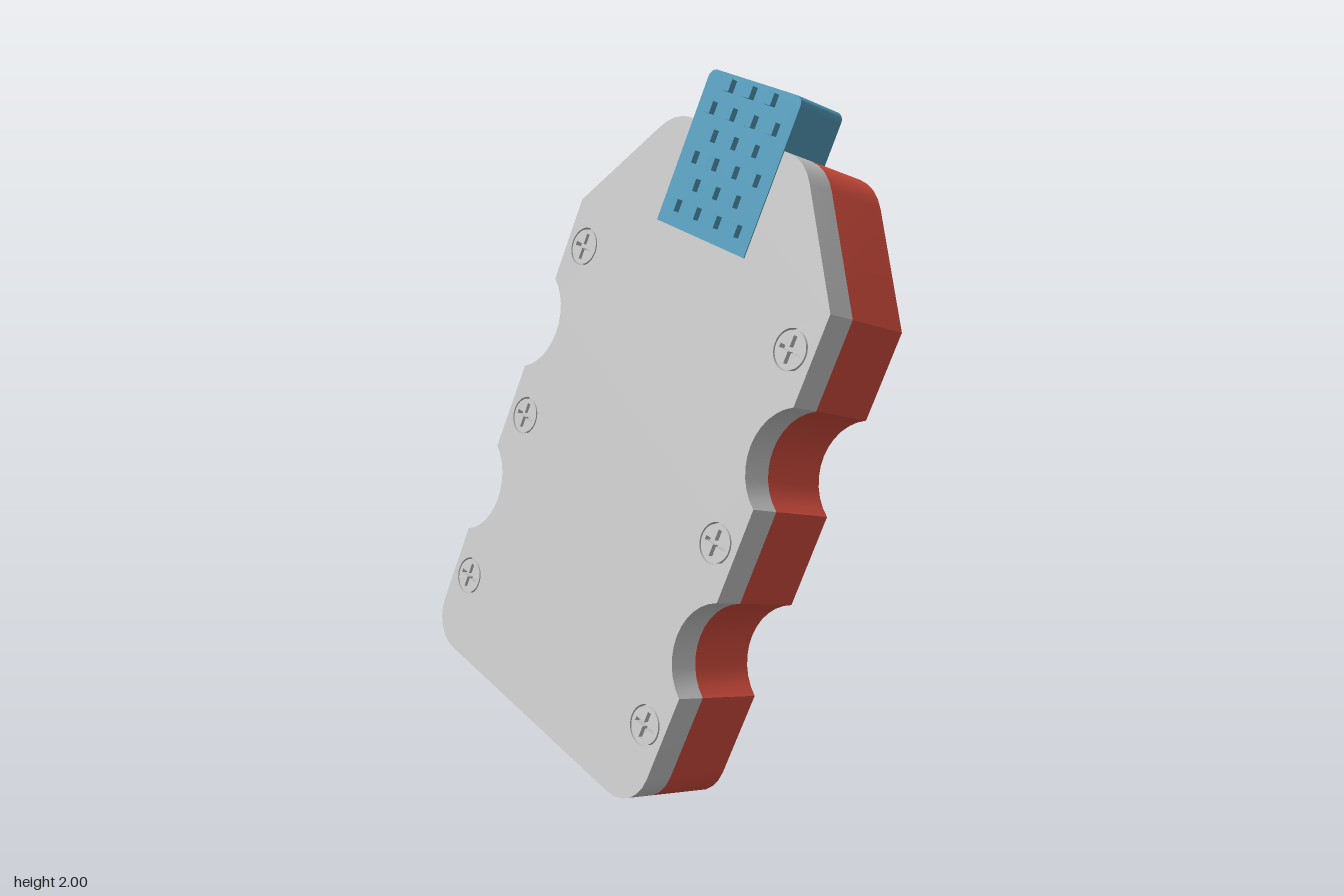
import * as THREE from 'three';
import { toCreasedNormals, mergeGeometries } from 'three/addons/utils/BufferGeometryUtils.js';

const V2 = (x, y) => new THREE.Vector2(x, y);
const mat = (color) => new THREE.MeshStandardMaterial({ color });
const GREY = mat(0xcccccc), RED = mat(0xd94f40), BLUE = mat(0x55a0c0);

// Arc of points around (cx, cy)
function arc(cx, cy, rx, ry, a0, a1, n) {
  return Array.from({ length: n + 1 }, (_, i) => {
    const a = a0 + (a1 - a0) * i / n;
    return V2(cx + rx * Math.cos(a), cy + ry * Math.sin(a));
  });
}

// Grip outline: right half from bottom to top, then mirrored
function gripOutline() {
  const scallop = (v) => arc(0.588, v, 0.158, 0.158, Math.PI + 1.09, Math.PI - 1.09, 12);
  const half = [
    ...arc(0.4, -0.655, 0.112, 0.11, -Math.PI / 2, 0, 6),
    ...scallop(-0.272), ...scallop(0.272),
    V2(0.516, 0.66),
    ...new THREE.QuadraticBezierCurve(V2(0.3, 0.935), V2(0.26, 0.985), V2(0.2, 0.988)).getPoints(4),
  ];
  return [...half, ...half.map((p) => V2(-p.x, p.y)).reverse()];
}

// Moves a counter-clockwise outline inwards by a fixed distance
function inset(points, a) {
  const n = points.length;
  const normal = (p, q) => V2(p.y - q.y, q.x - p.x).normalize();
  return points.map((p, i) => {
    const n1 = normal(points[(i + n - 1) % n], p), n2 = normal(p, points[(i + 1) % n]);
    return n1.clone().add(n2).multiplyScalar(a / (1 + n1.dot(n2))).add(p);
  });
}

// Walls through a stack of outlines, listed from front (high z) to back
function walls(rings) {
  const pos = [];
  for (let k = 0; k < rings.length - 1; k++) {
    const [a, za] = rings[k], [b, zb] = rings[k + 1], n = a.length;
    for (let i = 0; i < n; i++) {
      const j = (i + 1) % n;
      pos.push(a[i].x, a[i].y, za, b[i].x, b[i].y, zb, b[j].x, b[j].y, zb);
      pos.push(a[i].x, a[i].y, za, b[j].x, b[j].y, zb, a[j].x, a[j].y, za);
    }
  }
  const g = new THREE.BufferGeometry();
  g.setAttribute('position', new THREE.Float32BufferAttribute(pos, 3));
  return g;
}

// Flat lid facing front or back
function lid(points, z, back) {
  const g = new THREE.ShapeGeometry(new THREE.Shape(points)).toNonIndexed();
  if (back) g.scale(-1, 1, -1);
  g.translate(0, 0, z);
  g.deleteAttribute('uv');
  g.deleteAttribute('normal');
  return g;
}

// Extrusion between two z levels
function slab(shape, zBack, zFront, curveSegments = 16) {
  const g = new THREE.ExtrudeGeometry(shape, { depth: zFront - zBack, bevelEnabled: false, curveSegments });
  return toCreasedNormals(g.translate(0, 0, zBack), 0.5);
}

function add(parent, name, geometry, material) {
  const m = new THREE.Mesh(geometry, material);
  m.name = name;
  parent.add(m);
  return m;
}

export function createModel() {
  const model = new THREE.Group();
  const device = new THREE.Group();
  device.name = 'device';
  model.add(device);
  const outline = gripOutline();
  const screws = [];
  for (const x of [-0.438, 0.438]) for (const y of [-0.537, 0, 0.537]) screws.push([x, y]);

  // Front plate with round screw recesses
  const plate = new THREE.Shape(outline);
  for (const [x, y] of screws) plate.holes.push(new THREE.Path().absarc(x, y, 0.056, 0, Math.PI * 2, true));
  add(device, 'frontPlate', slab(plate, -0.09, 0), GREY);

  // Screw heads with a cross slot
  const w = 0.006, l = 0.038;
  const cross = [[w, w], [w, l], [-w, l], [-w, w], [-l, w], [-l, -w], [-w, -w], [-w, -l], [w, -l], [w, -w], [l, -w], [l, w]];
  const head = new THREE.Shape().absarc(0, 0, 0.051, 0, Math.PI * 2);
  head.holes.push(new THREE.Path(cross.map(([x, y]) => V2(x, y))));
  const headGeo = slab(head, -0.02, 0);
  const shankGeo = new THREE.CylinderGeometry(0.056, 0.056, 0.06, 24).rotateX(Math.PI / 2);
  for (const [x, y] of screws) {
    const screw = new THREE.Group();
    screw.name = 'screw';
    screw.position.set(x, y, 0);
    add(screw, 'screwHead', headGeo, GREY);
    add(screw, 'screwShank', shankGeo, GREY).position.z = -0.05;
    device.add(screw);
  }

  // Rear shell, open at the bottom behind the plate
  const opening = [
    ...arc(-0.27, -0.665, 0.1, 0.1, -Math.PI / 2, 0, 6), V2(-0.17, -0.55),
  ];
  const notched = [...outline, ...opening, ...opening.map((p) => V2(-p.x, p.y)).reverse()];
  add(device, 'rearShell', slab(new THREE.Shape(notched), -0.29, -0.09), RED);

  // Back cover with a chamfered rim
  const inner = inset(outline, 0.08);
  const cover = mergeGeometries([
    walls([[outline, -0.29], [outline, -0.3], [inner, -0.37]]),
    lid(outline, -0.29, false), lid(inner, -0.37, true),
  ]);
  add(device, 'backCover', toCreasedNormals(cover, 0.5), RED);

  // Connector block standing out of the top, its face level with the plate
  const r = 0.025, bw = 0.18, top = 1.13;
  const block = new THREE.Shape([
    V2(-bw, 0.697), V2(bw, 0.697),
    ...arc(bw - r, top - r, r, r, 0, Math.PI / 2, 5),
    ...arc(r - bw, top - r, r, r, Math.PI / 2, Math.PI, 5),
  ]);
  add(device, 'connectorBlock', slab(block, -0.166, 0.003), BLUE);

  // Staggered contact studs on the connector face
  const studGeo = new THREE.BoxGeometry(0.028, 0.034, 0.024);
  for (let row = 0; row < 6; row++) {
    const count = row % 2 ? 3 : 4;
    for (let i = 0; i < count; i++) {
      add(device, 'contactStud', studGeo, BLUE)
        .position.set((i - (count - 1) / 2) * 0.082, 0.755 + row * 0.069, 0.01);
    }
  }

  // Lean and turn the whole device
  const up = new THREE.Vector3(0.345, 0.938, 0.037).normalize();
  const side = new THREE.Vector3(0.691, -0.277, 0.668);
  const front = side.clone().cross(up).normalize();
  side.copy(up).cross(front);
  device.quaternion.setFromRotationMatrix(new THREE.Matrix4().makeBasis(side, up, front));
  device.position.set(-0.0975, 0.89, 0.112);
  return model;
}
